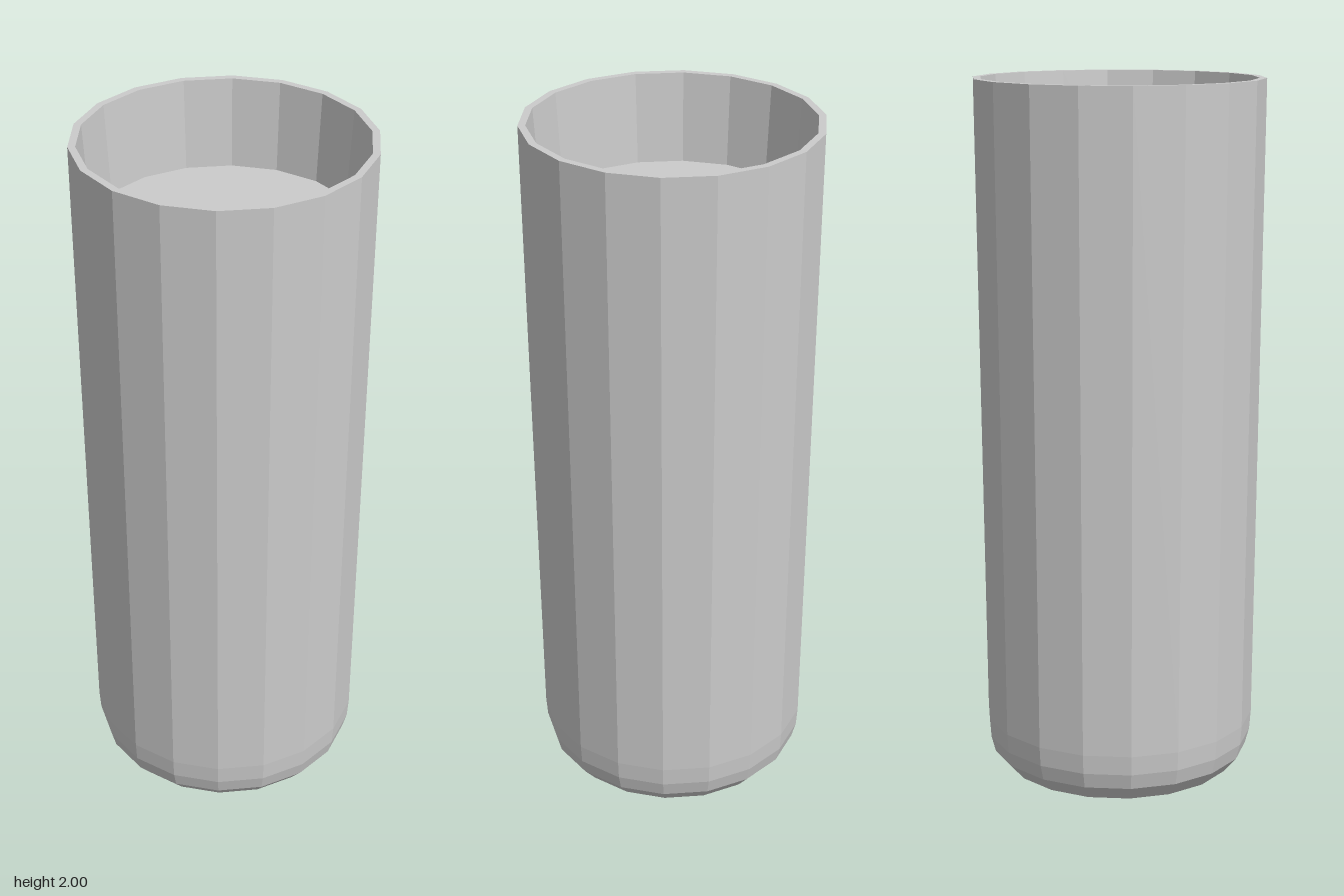
import * as THREE from 'three';

const SIDES = 18;

// Faceted turned part with a corner on the x axis
function turned(name, profile, material) {
  const points = profile.map(([r, y]) => new THREE.Vector2(r, y));
  const mesh = new THREE.Mesh(new THREE.LatheGeometry(points, SIDES, Math.PI / 2), material);
  mesh.name = name;
  return mesh;
}

export function createModel() {
  const group = new THREE.Group();
  group.name = 'tumbler';
  const material = new THREE.MeshStandardMaterial({ color: 0xcccccc, flatShading: true });

  // Slightly domed base, rounded shoulder and gently flared wall
  group.add(turned('outerShell', [
    [0, 0], [0.25, 0.015], [0.33, 0.045], [0.368, 0.09],
    [0.38, 0.135], [0.384, 0.19], [0.4, 2],
  ], material));

  // Flat lip around the opening
  group.add(turned('rim', [[0.4, 2], [0.38, 2]], material));

  // Inside wall down to the filling level
  group.add(turned('innerWall', [[0.38, 2], [0.364, 1.75]], material));

  // Flat surface inside the opening
  group.add(turned('innerFloor', [[0.364, 1.75], [0, 1.75]], material));

  return group;
}
